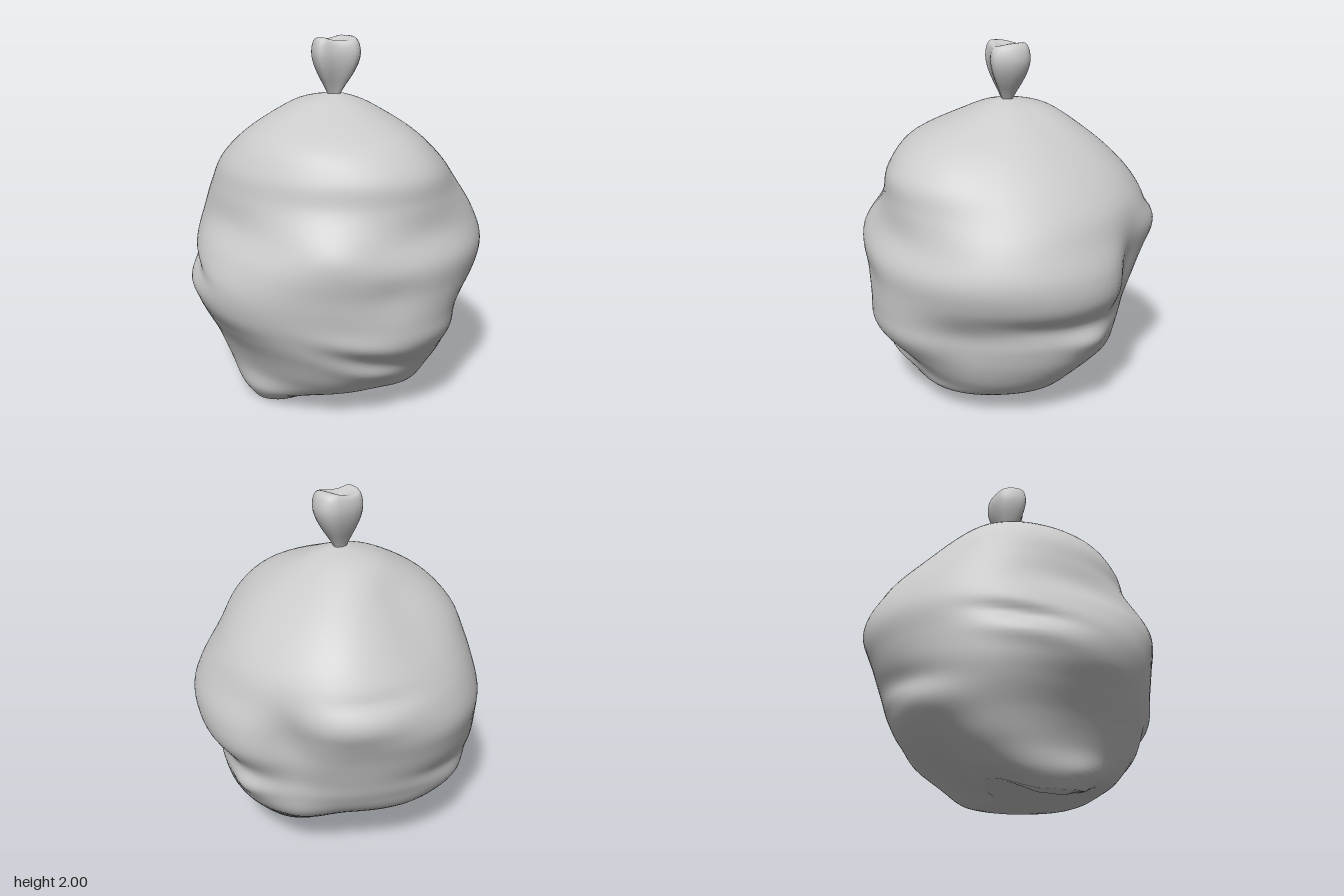
import * as THREE from 'three';

// Heights of the sack's cross-sections, top to bottom
const levels = [1.69, 1.64, 1.5, 1.35, 1.2, 1.05, 0.9, 0.75, 0.6, 0.48, 0.35, 0.22, 0.12, 0.07];

// Radius at each level, in eight directions: +x, +x+z, +z, -x+z, -x, -x-z, -z, +x-z
const profiles = [
  [.06, .2, .42, .59, .71, .77, .82, .815, .73, .71, .66, .55, .43, .26],
  [.06, .2, .44, .6, .7, .79, .84, .81, .73, .71, .67, .6, .49, .3],
  [.06, .2, .53, .69, .72, .74, .81, .81, .805, .79, .7, .61, .54, .33],
  [.06, .2, .52, .64, .68, .76, .81, .8, .78, .76, .7, .63, .53, .36],
  [.06, .23, .49, .61, .65, .68, .77, .82, .8, .73, .65, .59, .58, .53],
  [.06, .24, .47, .62, .69, .74, .78, .785, .78, .75, .69, .62, .52, .4],
  [.06, .25, .4, .55, .68, .77, .81, .78, .73, .69, .63, .45, .24, .1],
  [.06, .25, .47, .64, .75, .81, .79, .74, .69, .65, .57, .4, .22, .09],
];

// Dents and bulges: angle, height, depth, angular width, height width, slope
const lumps = [
  [-0.38, 0.86, -0.07, 0.2, 0.22, 0],    // side valley
  [-0.85, 1.0, 0.025, 0.3, 0.1, 0],      // ridge behind the valley
  [-1.0, 1.13, -0.015, 0.3, 0.04, 0],
  [-0.4, 0.32, 0.03, 0.25, 0.12, 0],     // low bulge under the valley
  [0.4, 0.62, -0.015, 0.35, 0.06, 0.1],  // side fold
  [0.02, 0.5, 0.04, 0.18, 0.08, 0],      // side knob
  [1.05, 0.52, -0.03, 0.22, 0.14, 0],    // front hollow
  [2.25, 1.0, 0.025, 0.25, 0.1, 0],      // front bulge
  [1.9, 0.76, -0.015, 0.18, 0.12, 0],
  [2.0, 0.47, 0.01, 0.4, 0.06, 0.18],    // slanting front crease between two ridges
  [1.95, 0.37, -0.025, 0.4, 0.06, 0.22],
  [1.9, 0.27, 0.02, 0.35, 0.06, 0.22],
  [-2.65, 0.79, -0.03, 0.3, 0.04, 0.1],  // fold on the other side
  [-2.65, 0.68, 0.02, 0.3, 0.05, 0.1],
  [-1.75, 0.55, -0.018, 0.4, 0.06, 0.1], // low fold at the back
  [-1.85, 0.43, 0.018, 0.35, 0.07, 0.1],
];

function cubic(a, b, c, d, t) {
  return b + 0.5 * t * (c - a + t * (2 * a - 5 * b + 4 * c - d + t * (3 * (b - c) + d - a)));
}

function sample(list, u) {
  const i = Math.min(Math.floor(u), list.length - 2);
  const at = (k) => list[Math.max(0, Math.min(list.length - 1, k))];
  return cubic(at(i - 1), at(i), at(i + 1), at(i + 2), u - i);
}

function bagRadius(angle, u, y) {
  const k = (angle / (2 * Math.PI)) * 8;
  const i = Math.floor(k);
  const p = (j) => sample(profiles[(j + 8) % 8], u);
  let r = cubic(p(i - 1), p(i), p(i + 1), p(i + 2), k - i);
  for (const [a, h, amp, wa, wh, slope] of lumps) {
    const da = Math.atan2(Math.sin(angle - a), Math.cos(angle - a));
    r += amp * Math.exp(-((da / wa) ** 2) - ((y - h - slope * da) / wh) ** 2);
  }
  return r;
}

// Smooth closed skin over rows of points (rows run top to bottom, angle from +x to +z)
function skin(rows, cols, point) {
  const pos = [];
  const index = [];
  for (let i = 0; i <= rows; i++) {
    for (let j = 0; j < cols; j++) pos.push(...point(i / rows, (j / cols) * 2 * Math.PI));
  }
  for (let i = 0; i < rows; i++) {
    for (let j = 0; j < cols; j++) {
      const n = (j + 1) % cols;
      const a = i * cols + j, b = i * cols + n, c = a + cols, d = b + cols;
      index.push(a, b, c, b, d, c);
    }
  }
  const g = new THREE.BufferGeometry();
  g.setAttribute('position', new THREE.Float32BufferAttribute(pos, 3));
  g.setIndex(index);
  g.computeVertexNormals();
  return g;
}

// Lumpy body with a sagging corner underneath
function bagPoint(t, angle) {
  const last = levels.length - 1;
  const u = t * (last + 2) - 1; // one extra step at each end closes the poles
  const v = Math.max(0, Math.min(last, u));
  let y = sample(levels, v);
  let r = bagRadius(angle, v, y);
  if (u < 0) { r *= 1 + u; y += 0.005 * -u; }
  if (u > last) { r *= 1 - (u - last); y -= 0.01 * (u - last); }
  const x = r * Math.cos(angle);
  const z = r * Math.sin(angle);
  const low = Math.max(0, 1 - y / 0.35);
  y -= 0.1 * low * Math.exp(-(((x + 0.47) / 0.15) ** 2) - ((z + 0.07) / 0.24) ** 2);
  y += 0.03 * low * Math.exp(-(((x + 0.15) / 0.16) ** 2));
  y -= 0.01 * low * Math.exp(-(((x - 0.15) / 0.15) ** 2));
  return [x, Math.max(0, y), z];
}

// Gathered end above the tie: outline of the flared mouth, scaled level by level
const mouth = new THREE.CatmullRomCurve3([
  [.15, -.03], [.14, .06], [.06, .14], [-.05, .08], [-.13, .04], [-.12, -.03], [-.06, -.1], [.1, -.08],
].map(([x, z]) => new THREE.Vector3(x, 0, z)), true);
const knotScale = [0, .4, .75, .93, 1, .9, .69, .47, .27, .2];
const knotHeight = [1.985, 1.99, 1.99, 1.965, 1.91, 1.85, 1.79, 1.74, 1.69, 1.66];

function knotPoint(t, angle) {
  const u = t * (knotScale.length - 1);
  const s = Math.max(0, sample(knotScale, u));
  const p = mouth.getPoint((angle / (2 * Math.PI)) % 1);
  const x = p.x * s;
  const top = Math.max(0, 1 - u / 4);
  // saddle between the two raised ends
  const y = sample(knotHeight, u) + top * (0.035 * Math.min(1, (x / 0.09) ** 2) - 0.018);
  return [x, Math.min(2, y), p.z * s];
}

export function createModel() {
  const group = new THREE.Group();
  const material = new THREE.MeshStandardMaterial({ color: 0xcccccc, side: THREE.DoubleSide });
  const add = (name, geometry) => {
    const mesh = new THREE.Mesh(geometry, material);
    mesh.name = name;
    group.add(mesh);
  };
  add('sackBody', skin(90, 96, bagPoint));
  add('tiedEnd', skin(27, 40, knotPoint));
  return group;
}
